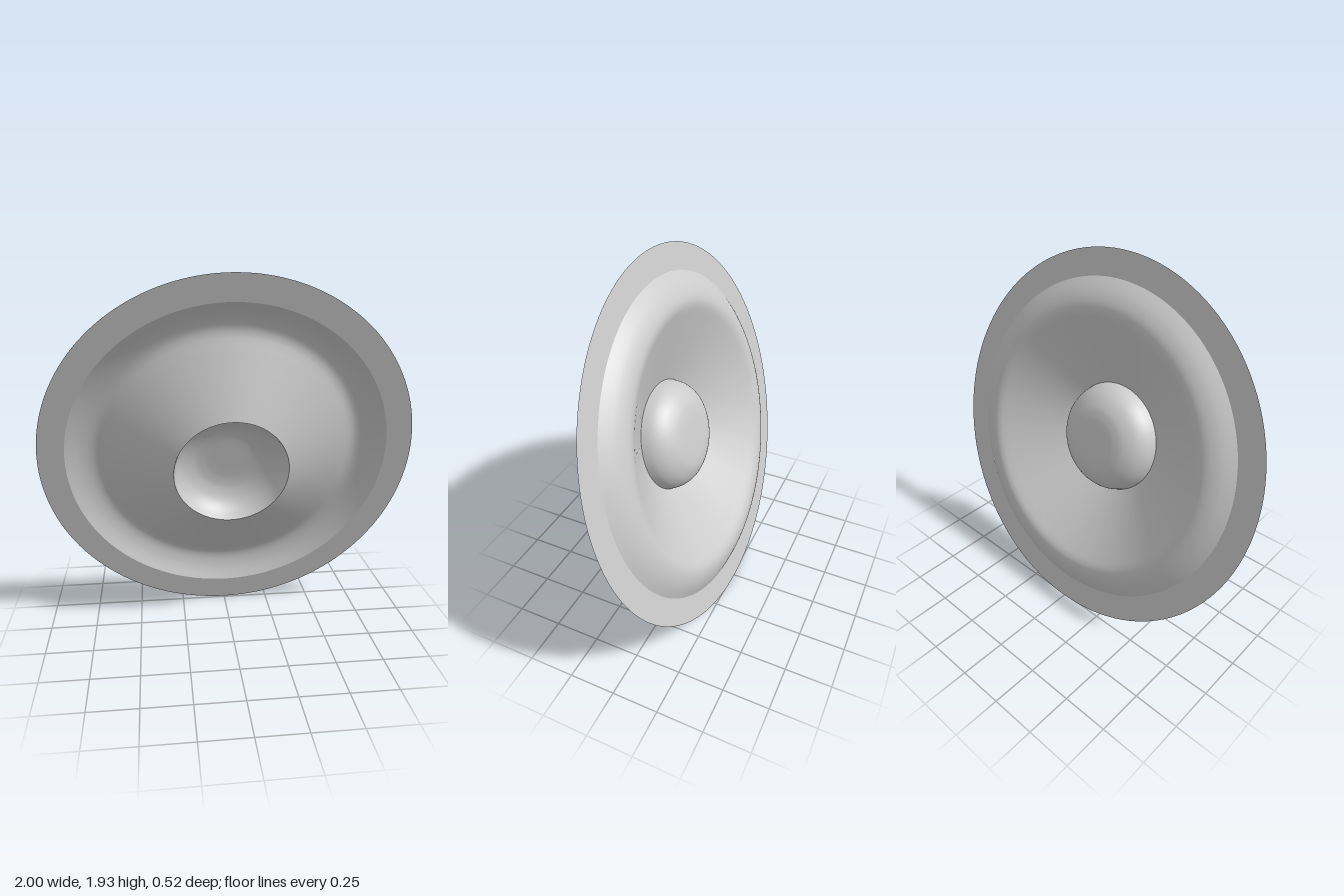
import * as THREE from 'three';

const SEGMENTS = 128;
const material = new THREE.MeshStandardMaterial({ color: 0xcccccc, side: THREE.DoubleSide });

// Revolves a profile of [radius, height] pairs, listed from outside to inside
function ring(name, pairs, samples = 0) {
  let points = pairs.map(([r, h]) => new THREE.Vector2(r, h));
  if (samples) points = new THREE.SplineCurve(points).getPoints(samples);
  points.forEach((p) => { p.x = Math.max(0, p.x); });
  const mesh = new THREE.Mesh(new THREE.LatheGeometry(points, SEGMENTS), material);
  mesh.name = name;
  return mesh;
}

export function createModel() {
  const tilt = THREE.MathUtils.degToRad(15);
  const model = new THREE.Group();
  model.name = 'speakerCone';

  const disc = new THREE.Group();
  disc.name = 'tiltedDisc';
  disc.add(
    // Thin flat mounting rim
    ring('flatRim', [[1, 0], [0.86, 0]]),
    // Rounded groove running smoothly into the straight cone wall
    ring('grooveAndCone', [
      [0.86, 0], [0.82, -0.027], [0.785, -0.046], [0.745, -0.06], [0.71, -0.064],
      [0.68, -0.058], [0.65, -0.044], [0.61, -0.022], [0.57, 0], [0.435, 0.075], [0.3, 0.15],
    ], 60),
    // Sunken bowl with a flat middle
    ring('centreBowl', [
      [0.3, 0.15], [0.282, 0.095], [0.245, 0.048], [0.19, 0.015], [0.14, 0.003], [0.09, 0], [0, 0],
    ], 36),
  );

  // Face the front, leaning forward at the top
  disc.rotation.x = Math.PI / 2 + tilt;
  disc.position.y = Math.cos(tilt);
  model.add(disc);
  return model;
}
